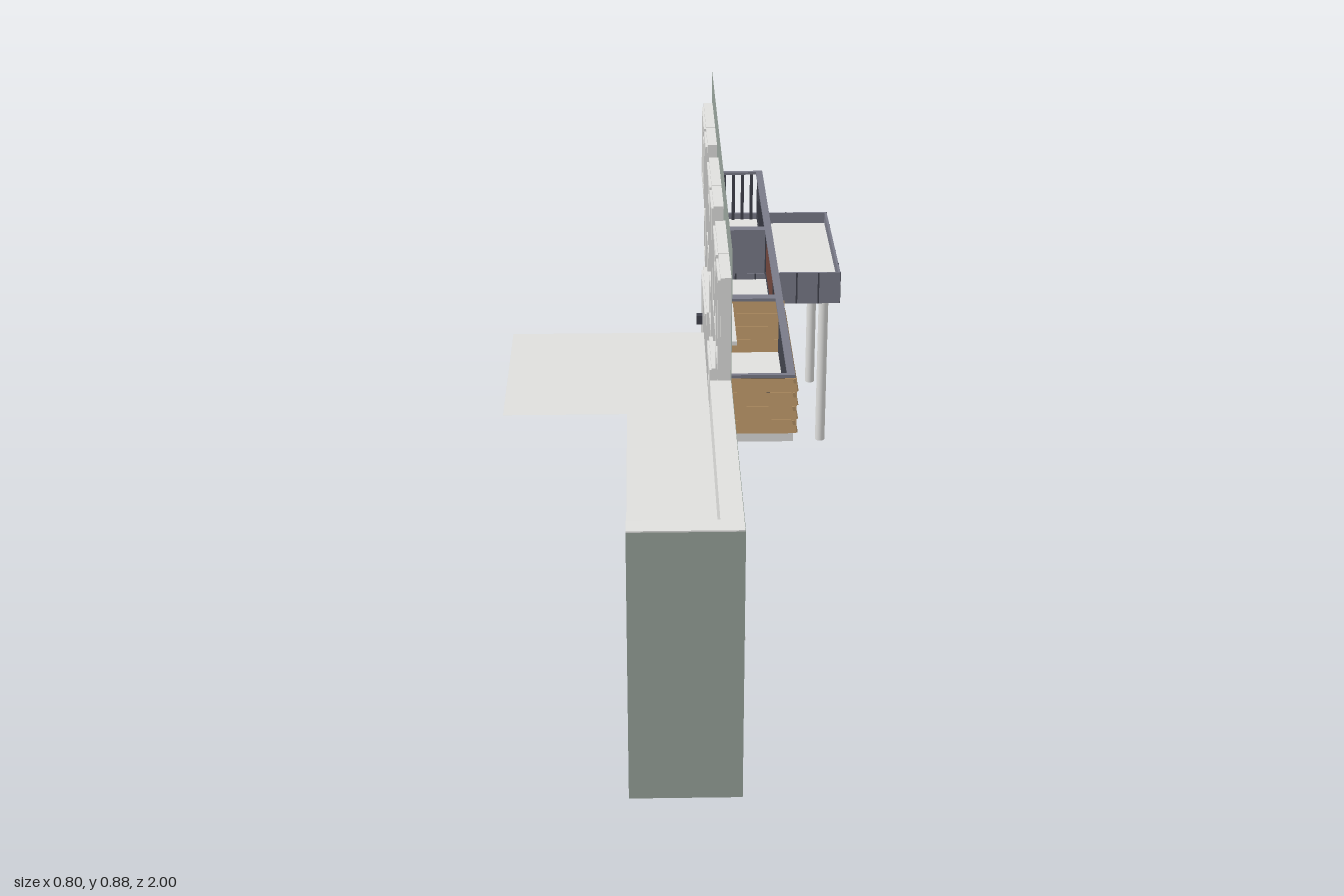
import * as THREE from 'three';

const mat = (name, color, side = THREE.FrontSide) => {
  const m = new THREE.MeshStandardMaterial({ color, side });
  m.name = name;
  return m;
};

export function createModel() {
  const green = mat('wall green', 0x98a39b, THREE.DoubleSide);
  const light = mat('light grey', 0xe0e0de);
  const roofMat = mat('roof grey', 0xdfdfdd, THREE.DoubleSide);
  const slate = mat('slate blue', 0x7a7b89);
  const glass = mat('glass', 0x7b7c8c);
  const glint = mat('glass reflection', 0xa3aca5, THREE.DoubleSide);
  const wood = mat('wood', 0xb28f63);
  const brown = mat('red brown', 0x70453b);
  const dark = mat('dark metal', 0x40424c);

  const model = new THREE.Group();
  model.name = 'house';
  // Working frame: u runs along the long facade, y is up, d points out of it
  const house = new THREE.Group();
  house.name = 'facade';
  house.rotation.y = Math.PI / 2;
  model.add(house);
  const D = 0.088; // wall plane

  const add = (name, geo, m, parent = house) => {
    const mesh = new THREE.Mesh(geo, m);
    mesh.name = name;
    parent.add(mesh);
    return mesh;
  };
  const box = (name, m, u0, u1, y0, y1, d0, d1, parent) => {
    const b = add(name, new THREE.BoxGeometry(u1 - u0, y1 - y0, d1 - d0), m, parent);
    b.position.set((u0 + u1) / 2, (y0 + y1) / 2, (d0 + d1) / 2);
    return b;
  };
  const poly = (pts, C = THREE.Shape) => new C(pts.map(p => new THREE.Vector2(...p)));
  const rect = ([u0, u1, y0, y1], C) => poly([[u0, y0], [u1, y0], [u1, y1], [u0, y1]], C);
  const frame = (name, m, outer, holes, d0, d1, parent) => {
    const s = rect(outer);
    s.holes = holes.map(h => rect(h, THREE.Path));
    const f = add(name, new THREE.ExtrudeGeometry(s, { depth: d1 - d0, bevelEnabled: false }), m, parent);
    f.position.z = d0;
  };

  // Glass with a diagonal reflection on both faces
  function pane(r, parent) {
    const [u0, u1, y0, y1] = r, w = u1 - u0, h = y1 - y0;
    box('glass', glass, u0, u1, y0, y1, 0.066, 0.069, parent);
    const band = poly([[u0, y0 + h * 0.12], [u0 + w * 0.5, y0 + h * 0.5], [u1, y0 + h * 0.78],
      [u1, y1], [u0 + w * 0.75, y1], [u0 + w * 0.55, y0 + h * 0.72], [u0, y0 + h * 0.38]]);
    for (const d of [0.0655, 0.0695]) {
      add('reflection', new THREE.ShapeGeometry(band), glint, parent).position.z = d;
    }
  }
  // Sash: frame with one or more panes stacked between the given heights
  function sash(u0, u1, y0, y1, splits, parent, b = 0.013) {
    const ys = [y0, ...splits, y1], panes = [];
    for (let i = 0; i < ys.length - 1; i++) {
      panes.push([u0 + b, u1 - b, ys[i] + (i ? b / 2 : b), ys[i + 1] - (i < ys.length - 2 ? b / 2 : b)]);
    }
    frame('sash', light, [u0, u1, y0, y1], panes, 0.06, 0.075, parent);
    panes.forEach(p => pane(p, parent));
  }
  const openings = [];
  function opening(name, u0, u1, y0, y1) {
    const g = new THREE.Group();
    g.name = name;
    house.add(g);
    openings.push([u0, u1, y0, y1]);
    frame('reveal', light, [u0, u1, y0, y1], [[u0 + 0.008, u1 - 0.008, y0 + 0.008, y1 - 0.008]], 0.065, D + 0.001, g);
    return g;
  }
  function windowUnit(u0, u1, y0, y1) {
    const g = opening('window', u0, u1, y0, y1), m = (u0 + u1) / 2;
    sash(u0 + 0.008, m, y0 + 0.008, y1 - 0.008, [y1 - 0.06], g);
    sash(m, u1 - 0.008, y0 + 0.008, y1 - 0.008, [], g);
    box('sill', light, u0 - 0.008, u1 + 0.008, y0 - 0.01, y0, D, 0.107, g);
  }
  function balconyDoor(u0, u1) {
    const g = opening('balconyDoor', u0, u1, 0.475, 0.81);
    sash(u0 + 0.008, u1 - 0.008, 0.483, 0.802, [0.595], g, 0.014);
  }
  for (const u of [-0.555, -0.11, 0.335]) windowUnit(u - 0.098, u + 0.098, 0.16, 0.366);
  for (const u of [-0.29, 0.152, 0.597]) {
    balconyDoor(u, u + 0.143);
    windowUnit(u + 0.147, u + 0.348, 0.605, 0.81);
  }

  // Entrance door with one wide and one narrow leaf
  const door = opening('entranceDoor', 0.62, 0.947, 0.012, 0.352);
  sash(0.628, 0.803, 0.02, 0.344, [], door);
  sash(0.803, 0.939, 0.02, 0.344, [], door);
  box('pull handle', dark, 0.801, 0.807, 0.17, 0.245, 0.075, 0.086, door);
  box('lock plate', dark, 0.865, 0.885, 0.215, 0.24, 0.045, 0.082, door);
  box('lever', dark, 0.865, 0.905, 0.157, 0.166, 0.05, 0.082, door);
  box('doorstep', light, 0.62, 0.95, 0, 0.015, D, 0.235);

  // Facade wall, low at the front end and tall along the rest
  const wall = poly([[-1, 0], [1, 0], [1, 0.885], [-0.33, 0.885], [-0.33, 0.59], [-1, 0.59]]);
  wall.holes = openings.map(o => rect(o, THREE.Path));
  add('facadeWall', new THREE.ShapeGeometry(wall), green).position.z = D;
  // End wall
  const end = add('endWall', new THREE.PlaneGeometry(0.223, 0.59), green, model);
  end.position.set(-0.0235, 0.295, 1);

  // Parapet lining and flat roof
  box('parapet', light, -0.998, -0.33, 0.515, 0.592, 0.042, D - 0.001);
  box('parapet', light, -0.998, -0.955, 0.515, 0.592, -0.135, 0.042);
  const roof = add('flatRoof', new THREE.ShapeGeometry(poly([[-0.135, -0.955], [0.042, -0.955],
    [0.042, 0.11], [-0.4, 0.11], [-0.4, -0.33], [-0.135, -0.33]])), roofMat, model);
  roof.rotation.x = -Math.PI / 2;
  roof.position.y = 0.515;

  // Balcony slab
  box('balconySlab', light, -0.33, 0.995, 0.447, 0.469, D, 0.222);

  // Timber cladding: tilted boards over a dark backing that shows in the gaps
  for (let i = 0; i < 4; i++) {
    const y0 = 0.468 + i * 0.0325, y1 = y0 + 0.0295;
    box('timberBoard', wood, -0.332, 0.11, y0, y1, 0.222, 0.228).rotation.x = -0.25;
    for (const u of [-0.33, 0.104]) {
      box('timberSideBoard', wood, u - 0.003, u + 0.003, y0, y1, D, 0.228).rotation.z = -0.25;
    }
  }
  box('timberBacking', dark, -0.325, 0.108, 0.469, 0.597, 0.215, 0.221);
  box('timberSideBacking', dark, -0.327, -0.323, 0.469, 0.597, D, 0.215);

  // Solid panels in a dark frame
  box('balconyPanel', brown, 0.115, 0.55, 0.49, 0.592, 0.211, 0.217);
  for (const u of [0.112, 0.225, 0.552]) box('panelPost', dark, u - 0.003, u + 0.003, 0.485, 0.597, 0.208, 0.22);
  box('panelBottomRail', dark, 0.112, 0.552, 0.485, 0.491, 0.209, 0.219);

  // Open railing with bars, along the front and across the end
  for (let i = 0; i <= 18; i++) {
    const u = 0.562 + i * (0.43 / 18);
    box('railingBar', dark, u - 0.004, u + 0.004, 0.469, 0.597, 0.21, 0.218);
  }
  for (let i = 0; i < 5; i++) {
    const d = 0.095 + i * 0.024;
    box('endRailingBar', dark, 0.988, 0.996, 0.469, 0.597, d, d + 0.008);
  }
  box('railingBottomRail', dark, 0.56, 0.996, 0.486, 0.493, 0.21, 0.218);

  // Handrails and dividers
  box('handrail', slate, -0.33, 1, 0.597, 0.604, 0.207, 0.224);
  for (const [u, w] of [[-0.325, 0.01], [0.11, 0.026], [0.56, 0.026], [0.994, 0.012]]) {
    box('crossRail', slate, u - w / 2, u + w / 2, 0.597, 0.604, D, 0.224);
  }
  box('balconyDivider', slate, 0.556, 0.564, 0.469, 0.597, D, 0.21);

  // Entrance canopy: slate fascia with dark seams around a sunken light deck
  box('canopyDeck', light, 0.561, 0.994, 0.406, 0.456, D, 0.394);
  const y0 = 0.402, y1 = 0.485;
  box('canopyFascia', slate, 0.555, 1, y0, y1, 0.394, 0.4);
  for (const u of [0.555, 0.994]) box('canopyFascia', slate, u, u + 0.006, y0, y1, D, 0.394);
  for (const u of [0.557, 0.62, 0.715, 0.81, 0.905, 0.998]) {
    box('canopySeam', dark, u - 0.002, u + 0.002, y0, y1, 0.398, 0.401);
  }
  for (const d of [0.135, 0.185, 0.235, 0.29, 0.345]) {
    for (const u of [0.5545, 0.9985]) box('canopySeam', dark, u, u + 0.002, y0, y1, d - 0.002, d + 0.002);
  }
  for (const u of [0.597, 0.965]) {
    const c = add('canopyColumn', new THREE.CylinderGeometry(0.0125, 0.0125, 0.404, 20), light);
    c.position.set(u, 0.202, 0.3625);
  }
  return model;
}
